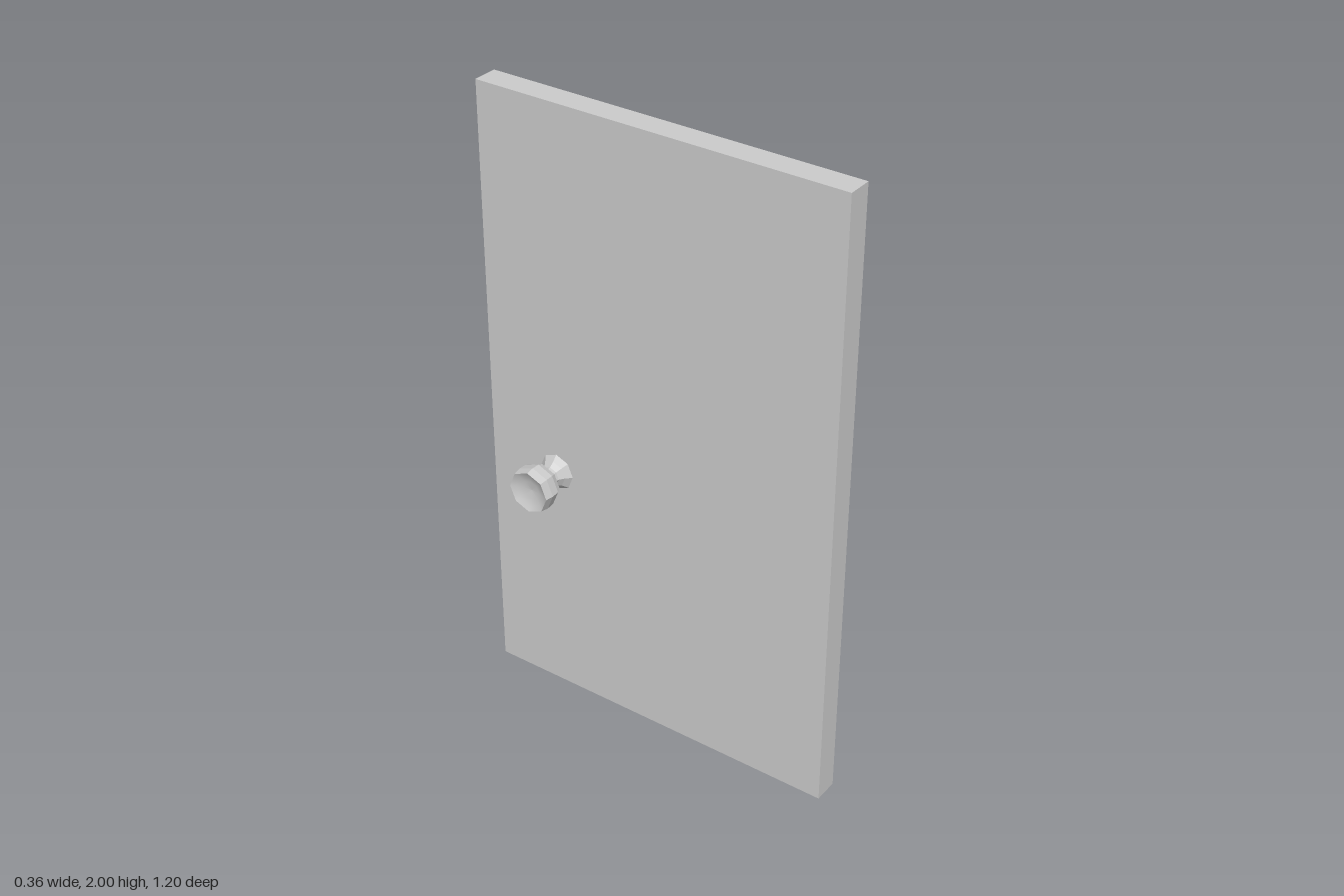
import * as THREE from 'three';

const SIDES = 8;

// Octagonal turned surface; each point is [distance from door centre, radius]
function turned(name, points, flatShading) {
  const profile = points.map(([d, r]) => new THREE.Vector2(r, d));
  const material = new THREE.MeshStandardMaterial({ color: 0xcccccc, flatShading });
  const mesh = new THREE.Mesh(new THREE.LatheGeometry(profile, SIDES), material);
  mesh.name = name;
  return mesh;
}

function createKnob(side) {
  const knob = new THREE.Group();
  knob.name = side > 0 ? 'leftKnob' : 'rightKnob';
  // Flared base, narrow neck and faceted grip
  knob.add(turned('knobBody', [
    [0.04, 0.06], [0.056, 0.043], [0.072, 0.032], [0.085, 0.03], [0.097, 0.045],
    [0.107, 0.063], [0.125, 0.071], [0.152, 0.0725], [0.178, 0.068],
  ], true));
  // Shallow hollow in the end of the grip
  knob.add(turned('knobDish', [
    [0.178, 0.068], [0.17, 0.052], [0.163, 0.03], [0.16, 0],
  ], false));
  knob.rotation.z = -side * Math.PI / 2;
  knob.position.set(0, 0.8, -0.36);
  return knob;
}

export function createModel() {
  const model = new THREE.Group();
  model.name = 'door';

  // Plain door slab
  const panel = new THREE.Mesh(
    new THREE.BoxGeometry(0.08, 2, 1.2),
    new THREE.MeshStandardMaterial({ color: 0xcccccc }),
  );
  panel.name = 'doorPanel';
  panel.position.y = 1;
  model.add(panel);

  // One knob on each face
  for (const side of [1, -1]) model.add(createKnob(side));
  return model;
}
